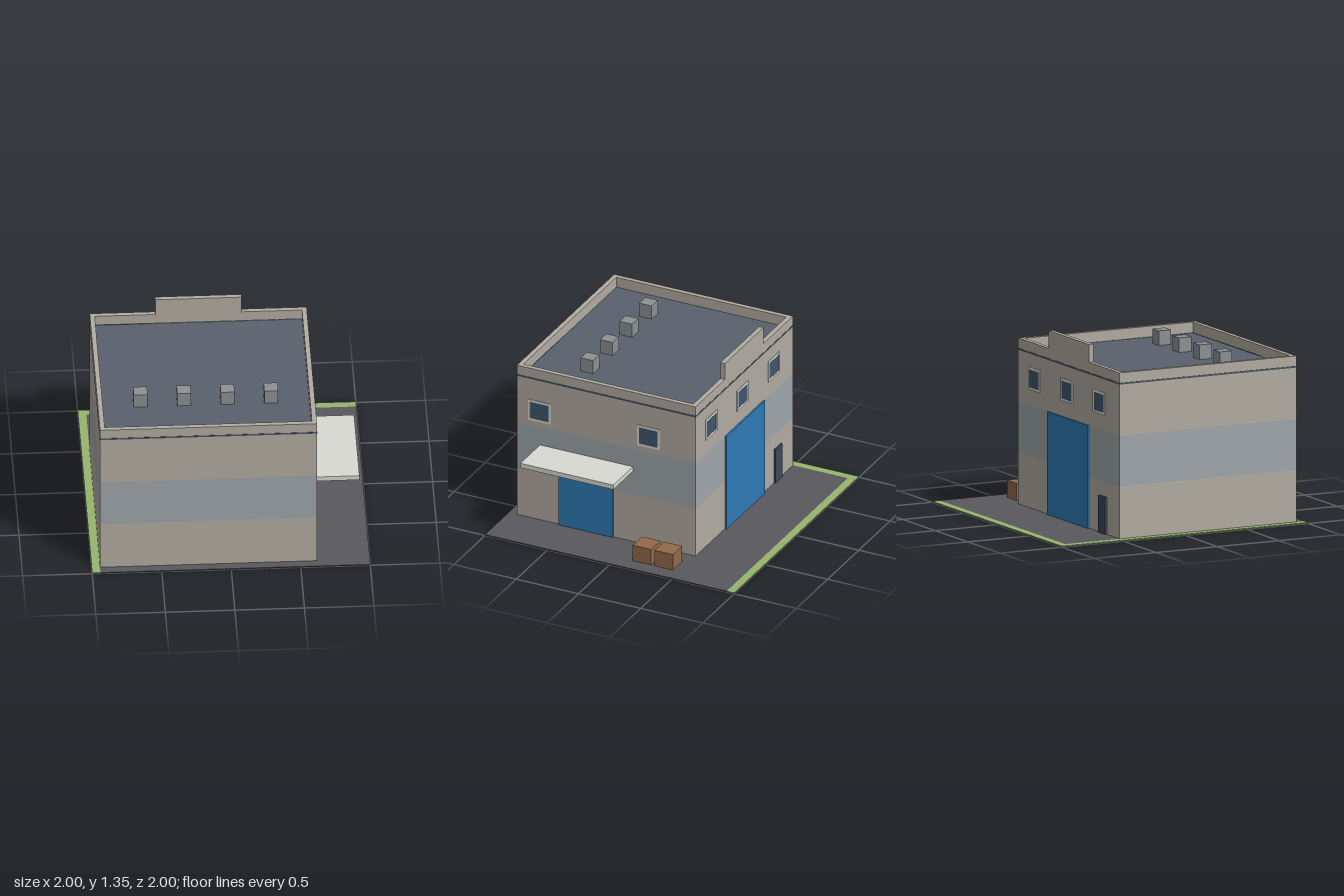
import * as THREE from 'three';

const mat = (color) => new THREE.MeshStandardMaterial({ color, flatShading: true });
const M = {
  wall: mat(0xb3ada2), band: mat(0x9fa7aa), trim: mat(0x4a5563), roof: mat(0x59616d),
  asphalt: mat(0x59595e), grass: mat(0x96b56f), pale: mat(0xdadad3), glass: mat(0x3f566d),
  blue: mat(0x2f7ab5), door: mat(0x3a4a5c), vent: mat(0x8c9194), crate: mat(0x926a48),
};

// Building footprint
const X0 = -0.94, X1 = 0.62, Z0 = -0.5, Z1 = 0.935, T = 0.035;
const ROOF = 1.14, TOP = 1.22, GROUND = 0.008;

export function createModel() {
  const model = new THREE.Group();

  // Box given by its two extreme corners
  function box(name, material, x0, x1, y0, y1, z0, z1, parent = model) {
    const mesh = new THREE.Mesh(new THREE.BoxGeometry(x1 - x0, y1 - y0, z1 - z0), material);
    mesh.position.set((x0 + x1) / 2, (y0 + y1) / 2, (z0 + z1) / 2);
    mesh.name = name;
    parent.add(mesh);
    return mesh;
  }

  // Hollow rectangular course of wall, optionally standing out by a small amount
  function wallRing(name, material, y0, y1, out = 0) {
    const rect = (P, d) => new P([
      new THREE.Vector2(X0 - d, -Z1 - d), new THREE.Vector2(X1 + d, -Z1 - d),
      new THREE.Vector2(X1 + d, -Z0 + d), new THREE.Vector2(X0 - d, -Z0 + d),
    ]);
    const shape = rect(THREE.Shape, out);
    shape.holes.push(rect(THREE.Path, -T));
    const geometry = new THREE.ExtrudeGeometry(shape, { depth: y1 - y0, bevelEnabled: false });
    geometry.rotateX(-Math.PI / 2);
    const mesh = new THREE.Mesh(geometry, material);
    mesh.position.y = y0;
    mesh.name = name;
    model.add(mesh);
  }

  // Window facing +z, a pale frame around a dark pane
  function window(name, x, y, z, turn) {
    const group = new THREE.Group();
    const w = 0.092, h = 0.083, f = 0.018;
    box('frameTop', M.pale, -w, w, h - f, h, -0.005, 0.005, group);
    box('frameBottom', M.pale, -w, w, -h, f - h, -0.005, 0.005, group);
    for (const s of [-1, 1]) {
      const side = box('frameSide', M.pale, -f / 2, f / 2, f - h, h - f, -0.005, 0.005, group);
      side.position.x = s * (w - f / 2);
    }
    box('pane', M.glass, f - w, w - f, f - h, h - f, -0.005, 0.003, group);
    group.position.set(x, y, z);
    group.rotation.y = turn;
    group.name = name;
    model.add(group);
  }

  // Yard and grass verges
  box('yard', M.asphalt, X0, 1, 0, GROUND, -0.94, 1);
  box('grassLeft', M.grass, -1, X0, 0, GROUND, -1, 1);
  box('grassBack', M.grass, X0, 1, 0, GROUND, -1, -0.94);

  // Walls in courses, with a parapet above the roof
  wallRing('lowerWall', M.wall, GROUND, 0.39);
  wallRing('paintedBand', M.band, 0.39, 0.76);
  wallRing('upperWall', M.wall, 0.76, TOP);
  wallRing('trimLine', M.trim, 1.134, 1.147, 0.002);
  box('roof', M.roof, X0 + T, X1 - T, ROOF - 0.04, ROOF, Z0 + T, Z1 - T);
  box('raisedParapet', M.wall, -0.47, 0.15, TOP, 1.35, Z0, Z0 + T);

  // Roof vents
  for (let i = 0; i < 4; i++) {
    const x = -0.628 + i * 0.313;
    box('roofVent', M.vent, x - 0.05, x + 0.05, ROOF, 1.247, 0.453, 0.553);
  }

  // Doors and canopy
  box('sideShutter', M.blue, X1 - 0.01, X1 + 0.011, GROUND, 0.51, 0.16, 0.597);
  box('backShutter', M.blue, -0.47, 0.15, GROUND, 0.76, Z0 - 0.013, Z0 + 0.01);
  box('backDoor', M.door, -0.745, -0.635, GROUND, 0.28, Z0 - 0.013, Z0 + 0.01);
  box('canopy', M.pale, X1, 0.935, 0.578, 0.615, 0.003, 0.75);

  // Windows
  for (const z of [0.752, -0.123]) window('sideWindow', X1, 0.884, z, Math.PI / 2);
  for (const x of [0.37, -0.13, -0.63]) window('backWindow', x, 0.955, Z0, Math.PI);

  // Crates in the yard
  for (const z of [-0.377, -0.202]) {
    box('crate', M.crate, 0.736, 0.885, GROUND, 0.134, z - 0.074, z + 0.074);
  }
  return model;
}
